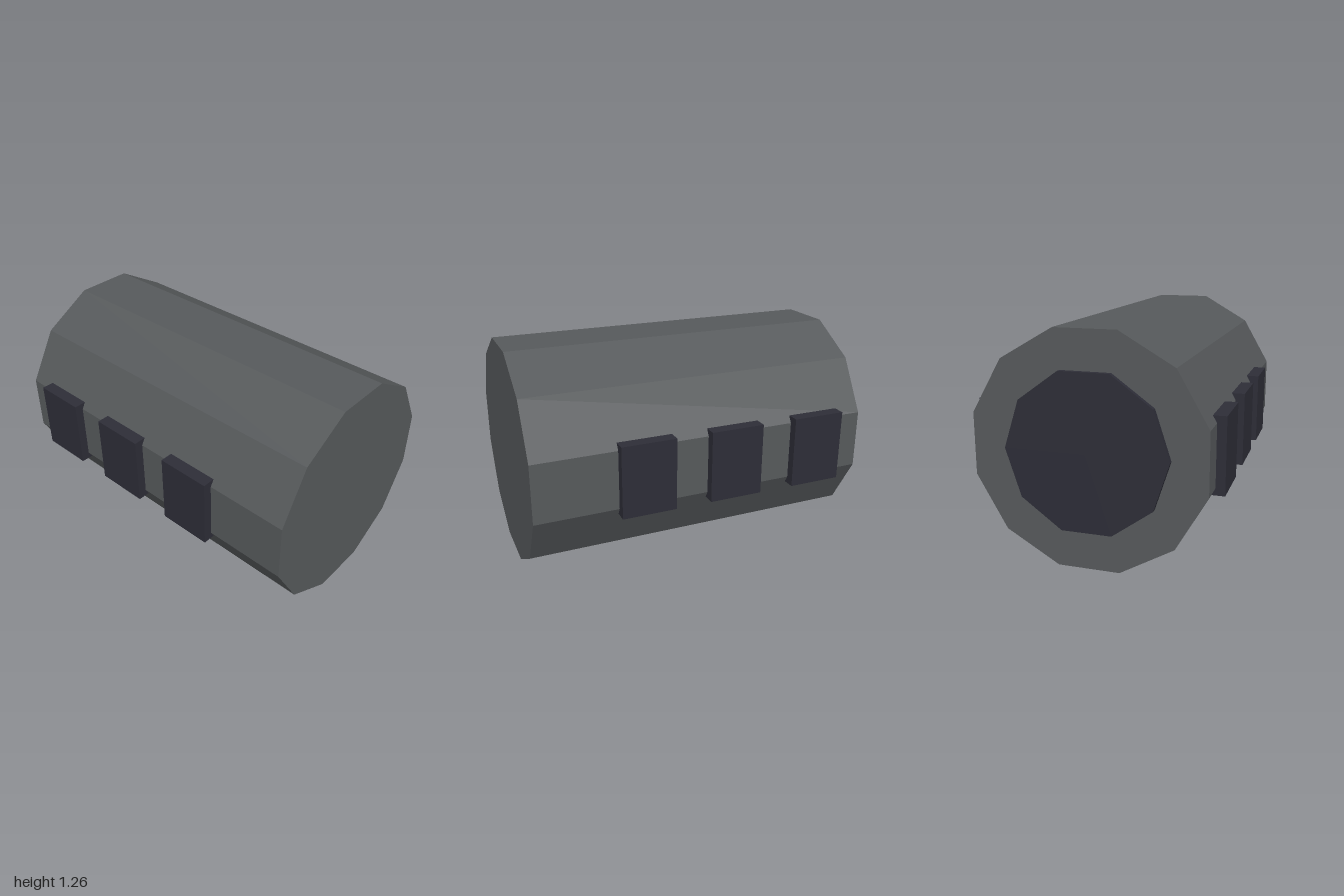
import * as THREE from 'three';

export function createModel() {
  const model = new THREE.Group();
  model.name = 'drum';
  const grey = new THREE.MeshStandardMaterial({ color: 0x56595b, flatShading: true });
  grey.name = 'slate grey';
  const dark = new THREE.MeshStandardMaterial({ color: 0x2d2d37, flatShading: true });
  dark.name = 'dark charcoal';

  const centreY = 0.63;

  // Prism lying along z, turned by half a side
  function prism(name, radius, sides, zBack, zFront, material) {
    const geometry = new THREE.CylinderGeometry(
      radius, radius, zFront - zBack, sides, 1, false, Math.PI / sides);
    geometry.rotateX(Math.PI / 2);
    const mesh = new THREE.Mesh(geometry, material);
    mesh.name = name;
    mesh.position.set(0, centreY, (zBack + zFront) / 2);
    model.add(mesh);
  }

  // Twelve-sided body with a ten-sided plate on its back end
  prism('body', 0.652, 12, -0.973, 1, grey);
  prism('backPlate', 0.441, 10, -1, -0.96, dark);

  // Three raised blocks along each side
  const blockGeometry = new THREE.BoxGeometry(0.08, 0.415, 0.312);
  for (const [side, label] of [[1, 'left'], [-1, 'right']]) {
    for (let i = 0; i < 3; i++) {
      const block = new THREE.Mesh(blockGeometry, dark);
      block.name = `${label}Block${i + 1}`;
      block.position.set(side * 0.64, centreY, 0.376 - i * 0.52);
      model.add(block);
    }
  }
  return model;
}
